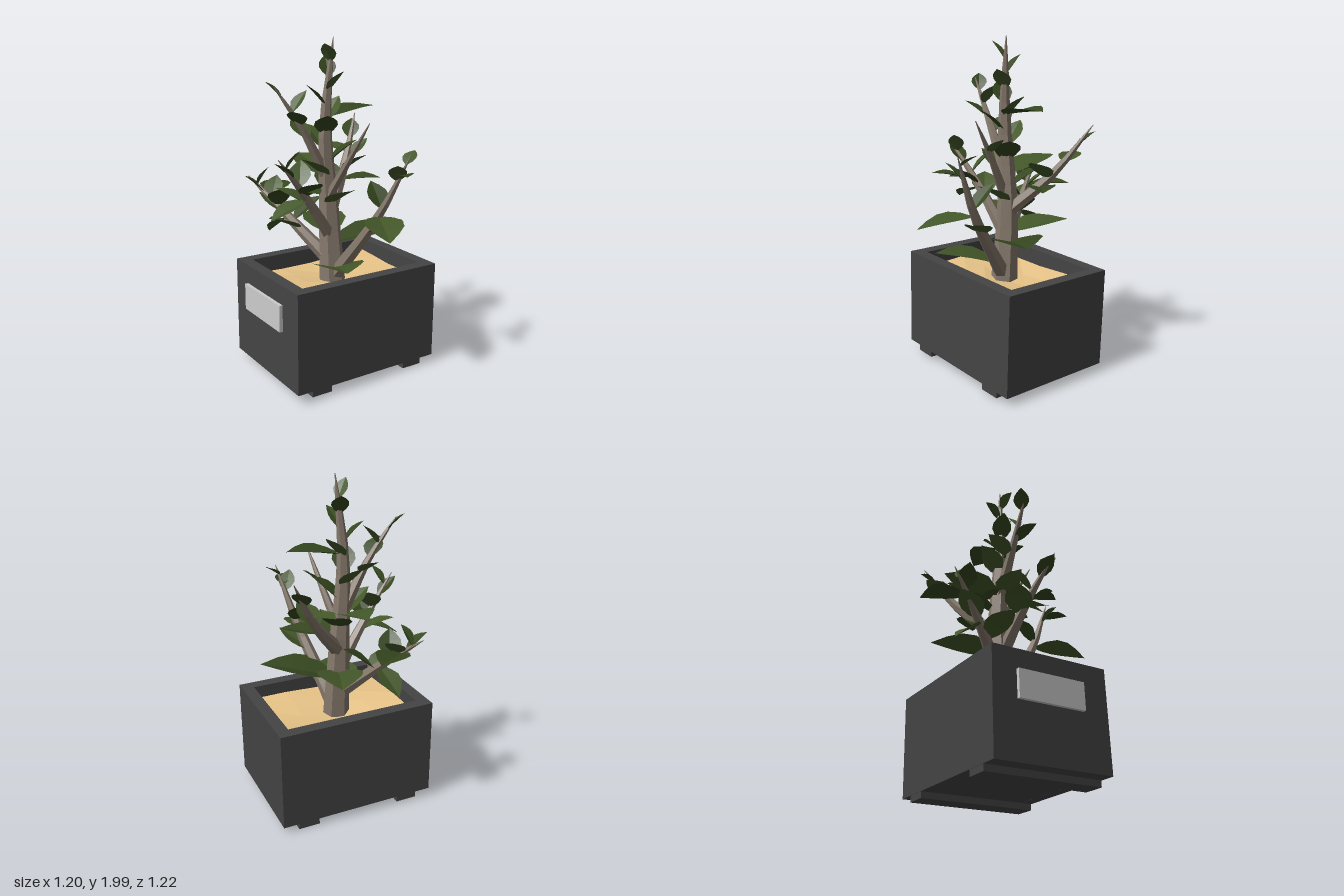
import * as THREE from 'three';

const V = (x, y, z) => new THREE.Vector3(x, y, z);
const lerp = THREE.MathUtils.lerp;
const mat = (color) => new THREE.MeshStandardMaterial({ color, flatShading: true });
const charcoal = mat(0x444444), steel = mat(0xc4c4c4), sand = mat(0xe8c488), bark = mat(0x85786b);
const greens = [mat(0x435729), mat(0x35471f)];
for (const m of greens) m.side = THREE.DoubleSide;

function add(parent, name, geometry, material, x = 0, y = 0, z = 0) {
  const mesh = new THREE.Mesh(geometry, material);
  mesh.name = name;
  mesh.position.set(x, y, z);
  parent.add(mesh);
  return mesh;
}

// Tapered stem: a tube whose rings shrink towards the tip
function stemGeometry(curve, radius, segments) {
  const sides = 6;
  const geo = new THREE.TubeGeometry(curve, segments, 1, sides);
  const pos = geo.attributes.position;
  const v = V(0, 0, 0);
  for (let k = 0; k < pos.count; k++) {
    const t = Math.floor(k / (sides + 1)) / segments;
    const centre = curve.getPointAt(t);
    v.fromBufferAttribute(pos, k).sub(centre).multiplyScalar(radius * Math.pow(1 - t, 0.75) + 0.002).add(centre);
    pos.setXYZ(k, v.x, v.y, v.z);
  }
  return geo;
}

// Unit leaf along +z: a plane narrowed to an oval, folded at the midrib and arched
function makeLeaf() {
  const geo = new THREE.PlaneGeometry(2, 1, 2, 5).rotateX(-Math.PI / 2).translate(0, 0, 0.5);
  const pos = geo.attributes.position;
  for (let i = 0; i < pos.count; i++) {
    const z = pos.getZ(i), edge = pos.getX(i);
    const width = 0.34 * Math.sin(Math.PI * Math.pow(z, 0.9));
    pos.setX(i, edge * width);
    pos.setY(i, 0.06 * Math.sin(Math.PI * z) + 0.25 * width * (Math.abs(edge) - 0.5));
  }
  geo.computeVertexNormals();
  return geo;
}
const leafGeometry = makeLeaf();

// A leaf from its base along a direction, upper side to the sky
function addLeaf(parent, base, direction, length, material) {
  const dir = direction.clone().normalize();
  const side = V(0, 1, 0).cross(dir).normalize();
  const up = dir.clone().cross(side);
  const leaf = add(parent, 'leaf', leafGeometry, material);
  leaf.quaternion.setFromRotationMatrix(new THREE.Matrix4().makeBasis(side, up, dir));
  leaf.position.copy(base);
  leaf.scale.setScalar(length);
}

// Radius, path, spiral leaf count, heading of the first leaf, longest leaf, and tips of the wide leaves
const stems = [
  { name: 'trunk', r: 0.082, path: [V(0, 0.46, 0), V(-0.03, 1, -0.02), V(-0.045, 1.5, 0), V(0, 1.99, -0.015)], leaves: 11, turn: 0.9, size: 0.28,
    tips: [V(0.17, 0.73, 0.39), V(0.42, 0.85, -0.18), V(-0.19, 0.87, -0.38), V(0.2, 1.58, -0.24), V(-0.29, 1.26, -0.28)] },
  { name: 'leftBranch', r: 0.05, path: [V(0, 0.55, 0), V(0.3, 1, 0.13), V(0.48, 1.37, 0.19)], leaves: 3, turn: 1.5, size: 0.26,
    tips: [V(0.41, 0.94, 0.44), V(0.48, 1.28, 0.33), V(0.49, 1.38, 0.08)] },
  { name: 'rightBranch', r: 0.045, path: [V(-0.02, 0.66, 0), V(-0.35, 0.95, -0.07), V(-0.57, 1.13, -0.13)], leaves: 7, turn: 5.9, size: 0.27,
    tips: [V(-0.45, 0.77, -0.15), V(-0.41, 1.05, -0.38)] },
  { name: 'frontBranch', r: 0.04, path: [V(-0.02, 0.82, 0), V(-0.12, 1.09, 0.17), V(-0.225, 1.35, 0.365)], leaves: 5, turn: 4.7, size: 0.25,
    tips: [V(-0.29, 0.98, 0.32), V(0, 1.16, 0.33)] },
  { name: 'upperBranch', r: 0.035, path: [V(-0.05, 1.2, 0), V(-0.16, 1.49, 0.11), V(-0.29, 1.73, 0.21)], leaves: 4, turn: 3.9, size: 0.2, tips: [] },
  { name: 'backBranch', r: 0.045, path: [V(-0.03, 0.93, 0), V(0.01, 1.2, -0.3), V(0.03, 1.49, -0.52)], leaves: 2, turn: 0.9, size: 0.25,
    tips: [V(-0.17, 1.3, -0.43), V(0.25, 1.13, -0.25)] },
  { name: 'thinBranch', r: 0.03, path: [V(-0.03, 1.05, 0), V(0.11, 1.3, 0.06), V(0.24, 1.53, 0.13)], leaves: 1, turn: 2.6, size: 0.16, tips: [] },
];

// Point of a curve nearest to a spot just below a leaf tip
function leafBase(curve, tip) {
  const target = tip.clone().setY(tip.y - 0.08);
  return curve.getSpacedPoints(30).reduce((a, b) => (b.distanceTo(target) < a.distanceTo(target) ? b : a));
}

export function createModel() {
  const model = new THREE.Group();

  // Planter, turned about 45 degrees and very slightly tilted
  const planter = new THREE.Group();
  planter.name = 'planter';
  planter.rotation.set(-0.0235, -0.77, 0);
  planter.position.set(0.012, 0, 0.005);
  model.add(planter);
  const W = 0.735, D = 0.97, wall = 0.073;
  const rect = (Type, w, d) => new Type([V(-w, -d, 0), V(w, -d, 0), V(w, d, 0), V(-w, d, 0)].map((q) => new THREE.Vector2(q.x / 2, q.y / 2)));
  const outline = rect(THREE.Shape, W, D);
  outline.holes.push(rect(THREE.Path, W - 2 * wall, D - 2 * wall));
  const walls = new THREE.ExtrudeGeometry(outline, { depth: 0.6, bevelEnabled: false }).rotateX(-Math.PI / 2);
  add(planter, 'planterWalls', walls, charcoal, 0, 0.05, 0);
  add(planter, 'planterFloor', new THREE.BoxGeometry(W - wall, 0.05, D - wall), charcoal, 0, 0.0755, 0);
  for (const s of [-1, 1]) add(planter, 'skid', new THREE.BoxGeometry(W - 0.004, 0.04, 0.13), charcoal, 0, 0.033, s * 0.325);
  add(planter, 'plate', new THREE.BoxGeometry(0.42, 0.16, 0.022), steel, -0.01, 0.455, D / 2 + 0.01);

  // Uneven sand, a little lower around the trunk
  const soil = new THREE.PlaneGeometry(W - 2 * wall, D - 2 * wall, 4, 4).rotateX(-Math.PI / 2);
  const p = soil.attributes.position;
  for (let i = 0; i < p.count; i++) {
    const x = p.getX(i), z = p.getZ(i);
    p.setY(i, 0.01 * Math.sin(x * 9 + z * 5) - 0.04 * Math.exp(-20 * (x * x + z * z)));
  }
  soil.computeVertexNormals();
  add(planter, 'sand', soil, sand, 0, 0.565, 0);

  // Trunk and branches, with wide leaves and others spiralling up, shorter and steeper to the tip
  const plant = new THREE.Group();
  plant.name = 'plant';
  model.add(plant);
  for (const { name, r, path, leaves, turn, size, tips } of stems) {
    const curve = new THREE.CatmullRomCurve3(path);
    add(plant, name, stemGeometry(curve, r, path.length * 2), bark);
    tips.forEach((tip, i) => {
      const base = leafBase(curve, tip);
      const span = tip.clone().sub(base);
      addLeaf(plant, base, span, span.length(), greens[i % 2]);
    });
    for (let i = 0; i < leaves; i++) {
      const f = (i + 0.4) / leaves;
      const t = lerp(0.33, 0.94, f);
      const heading = turn + i * 2.4;
      const dir = V(Math.sin(heading), 0.25 + 0.8 * f, Math.cos(heading)).addScaledVector(curve.getTangentAt(t), 0.3);
      addLeaf(plant, curve.getPointAt(t), dir, lerp(size, 0.13, f), greens[i % 2]);
    }
  }
  return model;
}
